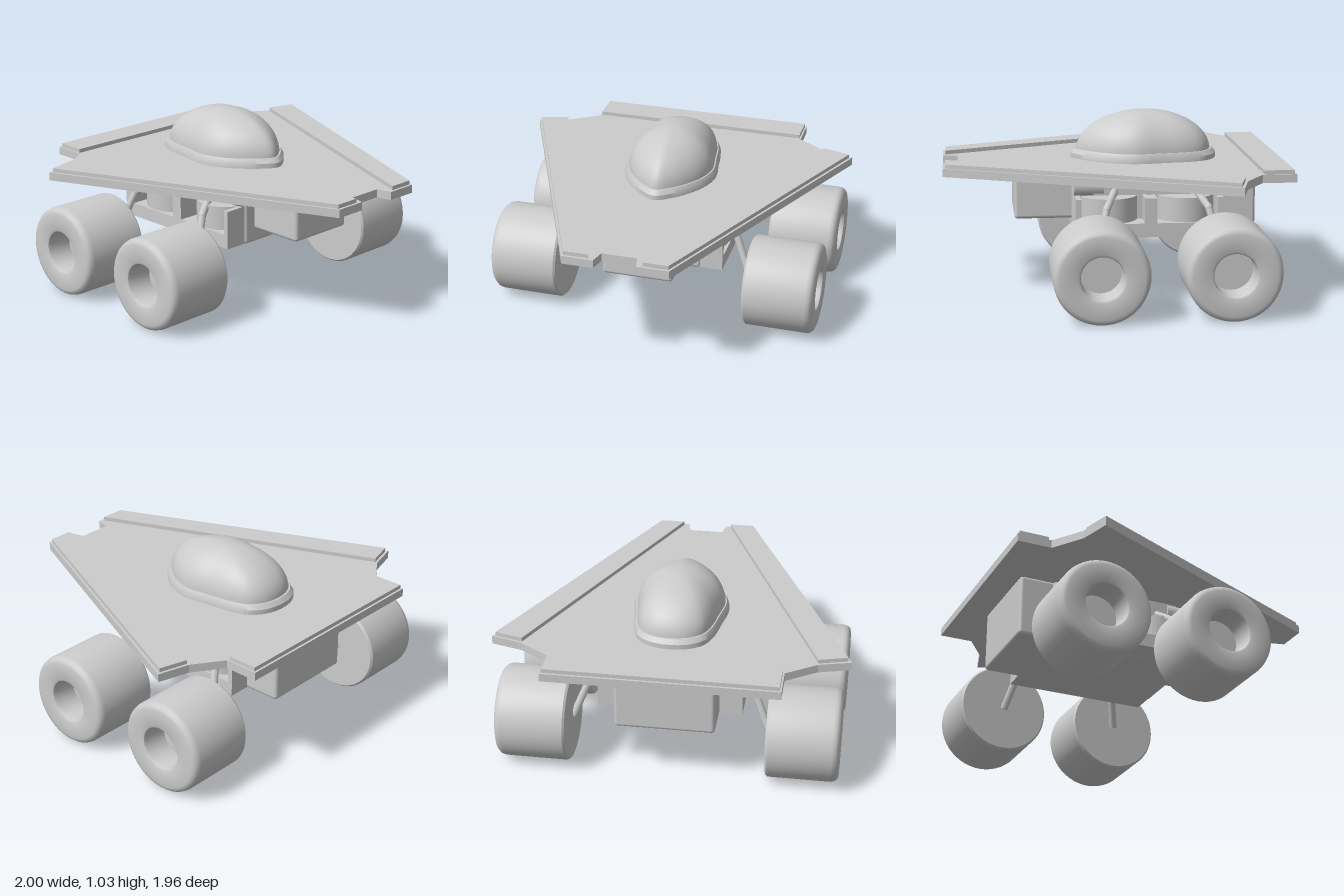
import * as THREE from 'three';
import { toCreasedNormals } from 'three/addons/utils/BufferGeometryUtils.js';
import { RoundedBoxGeometry } from 'three/addons/geometries/RoundedBoxGeometry.js';

const material = new THREE.MeshStandardMaterial({ color: 0xcccccc });

function add(parent, name, geometry, x = 0, y = 0, z = 0) {
  const mesh = new THREE.Mesh(geometry, material);
  mesh.name = name;
  mesh.position.set(x, y, z);
  parent.add(mesh);
  return mesh;
}

// Flat plate from an (x, z) outline, spanning y0..y1
function plate(points, y0, y1) {
  const shape = new THREE.Shape(points.map(([x, z]) => new THREE.Vector2(x, -z)));
  const geometry = new THREE.ExtrudeGeometry(shape, { depth: y1 - y0, bevelEnabled: false });
  return geometry.rotateX(-Math.PI / 2).translate(0, y0, 0);
}

// Mirror a half outline across x = 0
const mirrored = (half) => [...half, ...half.map(([x, z]) => [-x, z]).reverse()];

// Surface through closed rings of equal length, bottom to top
function loft(rings) {
  const n = rings[0].length, index = [];
  for (let j = 0; j < rings.length - 1; j++) {
    for (let i = 0; i < n; i++) {
      const a = j * n + i, b = j * n + (i + 1) % n;
      index.push(a, b, b + n, a, b + n, a + n);
    }
  }
  const geometry = new THREE.BufferGeometry();
  geometry.setAttribute('position', new THREE.Float32BufferAttribute(rings.flat(2), 3));
  geometry.setIndex(index);
  return toCreasedNormals(geometry, 0.6);
}

// Canopy: egg-shaped outline, rounded behind and pointed ahead
function addCanopy(group) {
  const half = [[0, 0.23], [0.09, 0.18], [0.17, 0.1], [0.235, 0], [0.272, -0.13], [0.25, -0.3],
    [0.225, -0.45], [0.18, -0.55], [0.1, -0.605], [0, -0.622]];
  const all = [...half, ...half.slice(1, -1).reverse().map(([x, z]) => [-x, z])];
  const curve = new THREE.CatmullRomCurve3(all.map(([x, z]) => new THREE.Vector3(x, 0, z)), true);
  const outline = curve.getPoints(72).slice(0, -1);
  const cz = -0.195;
  const ring = (s, y) => outline.map((p) => [p.x * s, y, cz + (p.z - cz) * s]);
  add(group, 'canopyRim', loft([ring(1, 0.75), ring(1, 0.785), ring(0.95, 0.81), ring(0.9, 0.81)]));
  const rings = [];
  for (let i = 0; i <= 16; i++) {
    const t = (i / 16) * Math.PI / 2;
    rings.push(ring(0.925 * Math.max(Math.cos(t), 0.001), 0.8 + 0.235 * Math.sin(t)));
  }
  add(group, 'canopyDome', loft(rings));
}

// Wheel: closed inner face, rounded tread edges, deep hub recess outside
function wheelGeometry() {
  const profile = [[0, 0], [0.255, 0], [0.265, 0.012], [0.265, 0.365], [0.26, 0.385], [0.247, 0.4],
    [0.23, 0.405], [0.135, 0.405], [0.124, 0.4], [0.118, 0.385], [0.118, 0.25], [0, 0.25]];
  const lathe = new THREE.LatheGeometry(profile.map(([r, y]) => new THREE.Vector2(r, y)), 48);
  return toCreasedNormals(lathe.rotateZ(-Math.PI / 2), 0.6);
}

// Straight bar between two points
function bar(group, name, a, b, radius, sides = 8) {
  const start = new THREE.Vector3(...a), end = new THREE.Vector3(...b);
  const axis = end.clone().sub(start);
  const geometry = new THREE.CylinderGeometry(radius, radius, axis.length(), sides);
  const mesh = add(group, name, geometry, ...start.add(end).multiplyScalar(0.5).toArray());
  mesh.quaternion.setFromUnitVectors(new THREE.Vector3(0, 1, 0), axis.normalize());
}

export function createModel() {
  const group = new THREE.Group();
  group.name = 'rover';

  // Wedge deck with front notch and rear shoulders
  add(group, 'deck', plate(mirrored([[0.1, 0.89], [0.12, 0.975], [0.3, 0.975], [1, -0.62],
    [0.82, -0.67], [0.65, -0.785], [0.65, -0.98]]), 0.71, 0.757));

  // Raised strips along the deck edges
  for (const s of [1, -1]) {
    const strip = [[0.15, 0.96], [0.293, 0.96], [0.98, -0.61], [0.82, -0.655]];
    add(group, s > 0 ? 'leftStrip' : 'rightStrip', plate(strip.map(([x, z]) => [s * x, z]), 0.755, 0.78));
  }
  add(group, 'rearStrip', new THREE.BoxGeometry(1.28, 0.025, 0.17), 0, 0.767, -0.882);

  addCanopy(group);

  // Hull and nose box
  add(group, 'hull', new RoundedBoxGeometry(0.56, 0.36, 1.06, 3, 0.02), 0, 0.535, -0.29);
  add(group, 'noseBox', new RoundedBoxGeometry(0.41, 0.28, 0.4, 3, 0.02), 0, 0.575, 0.37);

  // Running gear, repeated on both sides
  const wheel = wheelGeometry();
  for (const s of [1, -1]) {
    const side = new THREE.Group();
    side.name = s > 0 ? 'leftRunningGear' : 'rightRunningGear';
    group.add(side);

    // Side pod: sill, posts and the drums between them
    add(side, 'podSill', new THREE.BoxGeometry(0.14, 0.08, 0.84), s * 0.34, 0.4, -0.19);
    for (const [z, w] of [[0.215, 0.03], [-0.197, 0.07], [-0.595, 0.03]]) {
      add(side, 'podPost', new THREE.BoxGeometry(0.14, 0.15, w), s * 0.34, 0.51, z);
    }
    for (const z of [0.03, -0.41]) {
      add(side, 'podDrum', new THREE.CylinderGeometry(0.17, 0.17, 0.14, 32), s * 0.23, 0.51, z);
    }

    // Suspension beam with end knuckles and central pivot
    add(side, 'suspensionBeam', new THREE.BoxGeometry(0.06, 0.1, 0.64), s * 0.305, 0.645, -0.195);
    for (const z of [0.15, -0.54]) {
      const knuckle = new THREE.CylinderGeometry(0.058, 0.058, 0.17, 8).rotateX(Math.PI / 2);
      add(side, 'beamKnuckle', knuckle, s * 0.295, 0.645, z);
    }
    add(side, 'beamPivot', new THREE.CylinderGeometry(0.052, 0.052, 0.08, 24).rotateZ(Math.PI / 2),
      s * 0.31, 0.645, -0.195);

    // Wheels on bent struts
    for (const [name, z, lean] of [['front', 0.13, -1], ['rear', -0.59, 1]]) {
      const mesh = add(side, name + 'Wheel', wheel, s * 0.56, 0.268, z);
      if (s < 0) mesh.rotation.y = Math.PI;
      const elbow = [s * 0.445, 0.535, z + lean * 0.07];
      bar(side, name + 'UpperStrut', [s * 0.32, 0.62, z + lean * 0.13], elbow, 0.022);
      bar(side, name + 'LowerStrut', elbow, [s * 0.56, 0.26, z], 0.022);
      add(side, name + 'Elbow', new THREE.SphereGeometry(0.023, 10, 8), ...elbow);
    }
  }
  return group;
}
